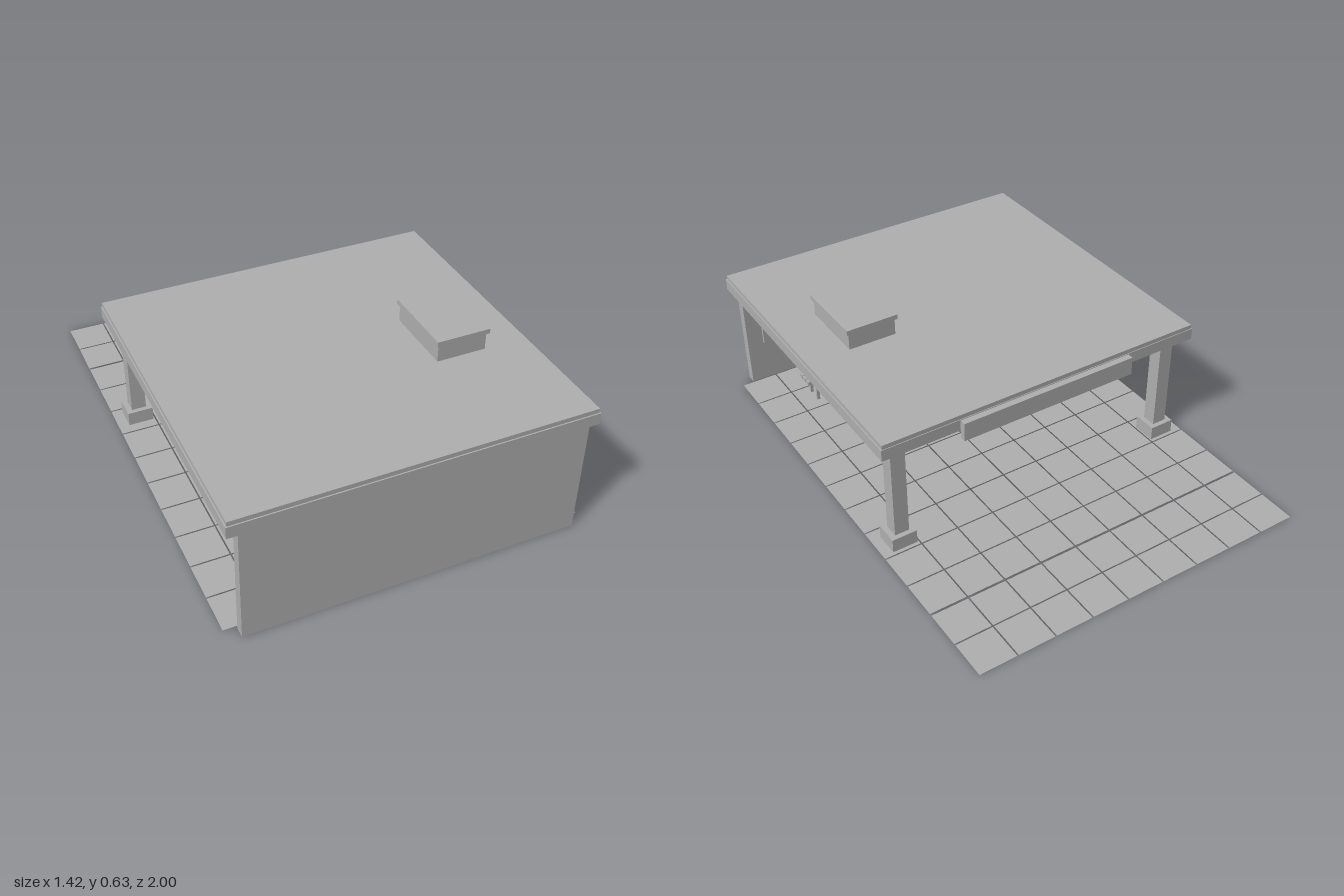
import * as THREE from 'three';

export function createModel() {
  const model = new THREE.Group();
  model.name = 'pavilion';

  const concrete = new THREE.MeshStandardMaterial({ color: 0xb0b0b0 });
  concrete.name = 'plain grey';
  const paving = new THREE.MeshStandardMaterial({ color: 0xb0b0b0, side: THREE.DoubleSide });
  paving.name = 'paving grey';

  // Box given by its limits on each axis
  function box(name, [x0, x1], [y0, y1], [z0, z1], parent = model) {
    const mesh = new THREE.Mesh(new THREE.BoxGeometry(x1 - x0, y1 - y0, z1 - z0), concrete);
    mesh.position.set((x0 + x1) / 2, (y0 + y1) / 2, (z0 + z1) / 2);
    mesh.name = name;
    parent.add(mesh);
    return mesh;
  }

  function group(name) {
    const g = new THREE.Group();
    g.name = name;
    model.add(g);
    return g;
  }

  // Flat paving tiles with open joints, in two fields
  const floor = group('floor');
  const columns = 9, joint = 0.006, floorWidth = 1.42;
  function tileField(zStart, zEnd, rows) {
    const px = (floorWidth + joint) / columns;
    const pz = (zEnd - zStart + joint) / rows;
    const tile = new THREE.PlaneGeometry(px - joint, pz - joint).rotateX(-Math.PI / 2);
    for (let r = 0; r < rows; r++) {
      for (let c = 0; c < columns; c++) {
        const mesh = new THREE.Mesh(tile, paving);
        mesh.name = 'floorTile';
        mesh.position.set((c - (columns - 1) / 2) * px, 0.002, zStart + (pz - joint) / 2 + r * pz);
        floor.add(mesh);
      }
    }
  }
  tileField(-1, -0.685, 2);
  tileField(-0.675, 0.947, 10);

  // Solid front wall with a board on its inner face
  box('wall', [-0.66, 0.66], [0, 0.473], [0.955, 0.998]);
  box('wallBoard', [0.39, 0.59], [0.185, 0.375], [0.942, 0.956]);

  // Roof slab with a slightly smaller top layer
  const roof = group('roof');
  box('roofSlab', [-0.7, 0.7], [0.472, 0.52], [-0.36, 1], roof);
  box('roofTop', [-0.695, 0.695], [0.52, 0.538], [-0.357, 0.995], roof);
  box('signPanel', [-0.38, 0.378], [0.44, 0.517], [-0.386, -0.36], roof);

  // Roof vent and its cap
  const vent = group('roofVent');
  box('ventBody', [0.315, 0.516], [0.538, 0.61], [0.225, 0.522], vent);
  box('ventCap', [0.307, 0.526], [0.61, 0.63], [0.215, 0.53], vent);

  // Mirrored posts on square bases
  for (const side of [-1, 1]) {
    const post = group(side > 0 ? 'leftPost' : 'rightPost');
    const x = side * 0.615;
    box('postBase', [x - 0.052, x + 0.052], [0, 0.06], [-0.335, -0.235], post);
    box('postShaft', [x - 0.03, x + 0.03], [0.06, 0.473], [-0.315, -0.255], post);
  }

  // Slatted bench facing the open side
  const bench = group('bench');
  const length = [-0.1, 0.52];
  for (let i = 0; i < 3; i++) {
    const z = 0.664 + i * 0.03;
    box('seatSlat', length, [0.1, 0.115], [z, z + 0.026], bench);
    const y = 0.13 + i * 0.032;
    box('backSlat', length, [y, y + 0.025], [0.75, 0.762], bench);
  }
  for (const x of [-0.055, 0.475]) {
    for (const z of [0.681, 0.745]) {
      box('benchLeg', [x - 0.0065, x + 0.0065], [0, 0.1], [z - 0.0065, z + 0.0065], bench);
    }
  }

  return model;
}
